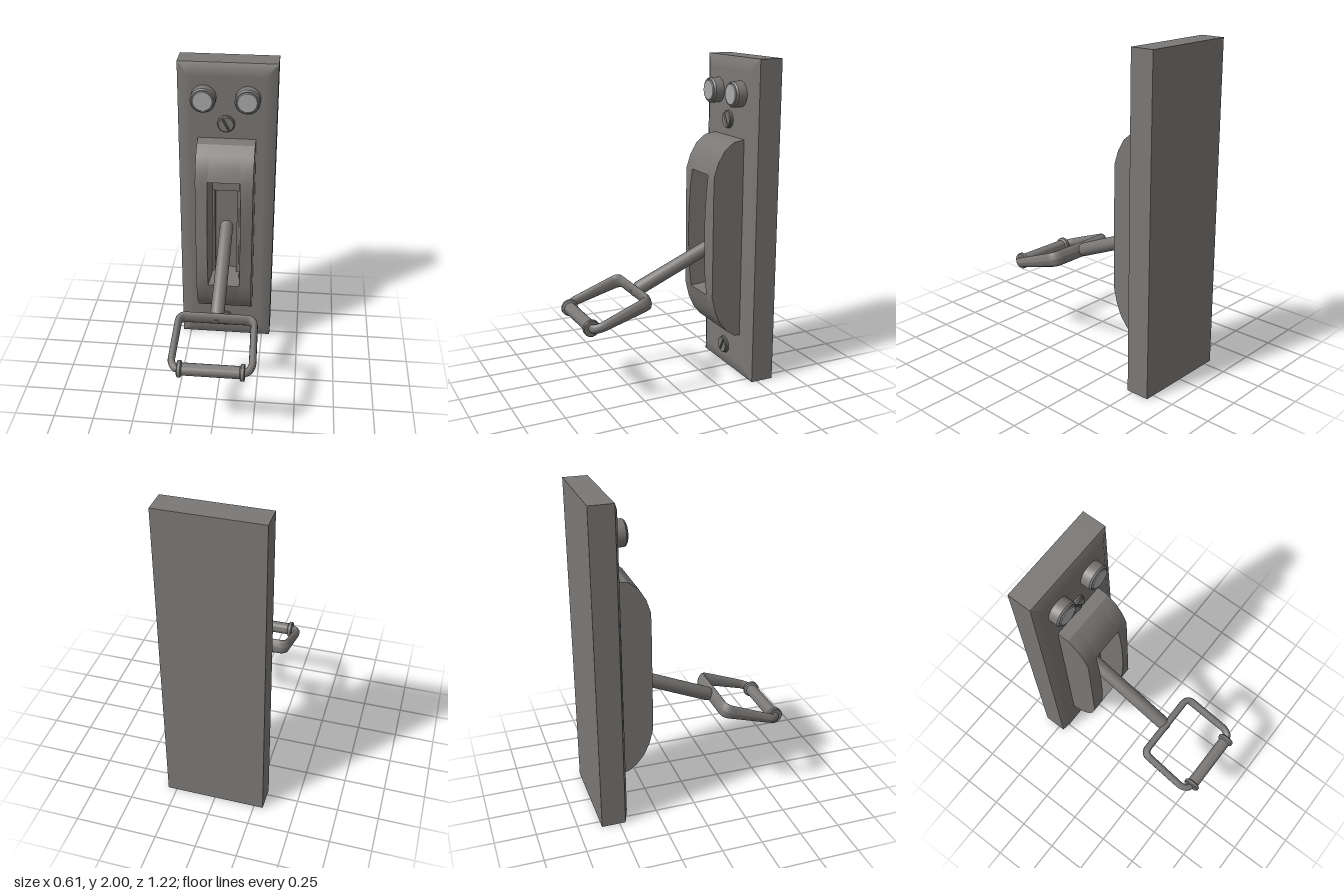
import * as THREE from 'three';
import { toCreasedNormals } from 'three/addons/utils/BufferGeometryUtils.js';

const metal = new THREE.MeshStandardMaterial({ color: 0x7a7876 });
const lens = new THREE.MeshStandardMaterial({ color: 0xaaaaaa });
const BACK = -0.44; // front surface of the wall plate

function add(parent, name, geometry, x = 0, y = 0, z = 0, material = metal) {
  const m = new THREE.Mesh(geometry, material);
  m.name = name;
  m.position.set(x, y, z);
  parent.add(m);
  return m;
}

// Applies a rule to every vertex
function warp(geometry, rule) {
  const p = geometry.attributes.position;
  const v = new THREE.Vector3();
  for (let i = 0; i < p.count; i++) {
    rule(v.fromBufferAttribute(p, i));
    p.setXYZ(i, v.x, v.y, v.z);
  }
  geometry.computeVertexNormals();
  return geometry;
}

// Lathe from [radius, height] pairs, axis turned to +z
function turned(points, sides = 24) {
  const g = new THREE.LatheGeometry(points.map(p => new THREE.Vector2(...p)), sides);
  return toCreasedNormals(g.rotateX(Math.PI / 2), 0.6);
}

// Plate with a softly shaded bevel around its front; an inner loop keeps the middle flat
function plate() {
  const g = new THREE.BoxGeometry(0.61, 2, 0.17, 3, 3, 2);
  warp(g, v => {
    const front = v.z > 0.05;
    const inset = (c, half) => Math.sign(c) *
      (Math.abs(c) < half * 0.9 ? half - 0.08 : front ? half - 0.05 : half);
    v.x = inset(v.x, 0.305);
    v.y = inset(v.y, 1);
    if (Math.abs(v.z) < 0.05) v.z = 0.062;
  });
  return toCreasedNormals(g, 0.5);
}

// Side profile of the housing as [z, y]; indices 5 and 10 are the slot ends
const PROFILE = [
  [BACK, 0.275], [-0.4, 0.28], [-0.35, 0.315], [-0.3, 0.375], [-0.265, 0.45],
  [-0.24, 0.55], [-0.225, 0.7], [-0.22, 0.9], [-0.222, 1.05], [-0.23, 1.2],
  [-0.242, 1.31], [-0.268, 1.39], [-0.31, 1.46], [-0.37, 1.508], [BACK, 1.52],
];

// Extrudes a profile along x; the slot narrows inward, the outer front edge is chamfered
function housingPart(points, x0, x1) {
  const shape = new THREE.Shape(points.map(([z, y]) => new THREE.Vector2(-z, y)));
  const g = new THREE.ExtrudeGeometry(shape, { depth: x1 - x0, bevelEnabled: false });
  g.rotateY(Math.PI / 2).translate(x0, 0, 0);
  warp(g, v => {
    if (Math.abs(v.x) < 0.15) v.x = Math.sign(v.x) * (0.08 + (v.z - BACK) * 0.114);
    else v.z = Math.min(v.z, -0.24);
  });
  return toCreasedNormals(g, 0.5);
}

function housing() {
  const g = new THREE.Group();
  g.name = 'housing';
  add(g, 'leftCheek', housingPart(PROFILE, 0.105, 0.18));
  add(g, 'rightCheek', housingPart(PROFILE, -0.18, -0.105));
  add(g, 'lowerCap', housingPart([...PROFILE.slice(0, 6), [BACK, 0.575]], -0.105, 0.105));
  add(g, 'upperCap', housingPart([[BACK, 1.29], ...PROFILE.slice(10)], -0.105, 0.105));
  // Guide deep inside the slot
  add(g, 'slotStop', new THREE.BoxGeometry(0.17, 0.11, 0.06), 0, 1.24, BACK + 0.03);
  for (const s of [-1, 1])
    add(g, 'slotRail', new THREE.BoxGeometry(0.015, 0.62, 0.05), s * 0.078, 0.88, BACK + 0.025);
  return g;
}

// Slotted screw: base disc and two half heads
function screw(name, y, angle) {
  const g = new THREE.Group();
  g.name = name;
  add(g, 'screwBase', turned([[0.055, -0.01], [0.055, 0.01], [0.05, 0.014], [0, 0.014]], 12));
  const a = 0.16;
  const half = new THREE.Shape().absarc(0, 0, 0.046, a, Math.PI - a, false);
  const geo = new THREE.ExtrudeGeometry(half, {
    depth: 0.01, bevelThickness: 0.004, bevelSize: 0.004, bevelSegments: 1, curveSegments: 6,
  });
  for (const r of [0, Math.PI]) add(g, 'screwHeadHalf', geo, 0, 0, 0.01).rotation.z = r;
  g.position.set(-0.005, y, BACK);
  g.rotation.z = angle;
  return g;
}

// Push button: chamfered collar with a paler cap
function button(name, x) {
  const g = new THREE.Group();
  g.name = name;
  add(g, 'buttonCollar', turned(
    [[0.078, 0], [0.078, 0.056], [0.07, 0.066], [0.063, 0.066], [0.063, 0.05]]));
  add(g, 'buttonCap', turned([[0.0625, 0.05], [0.0625, 0.068], [0.059, 0.072], [0, 0.072]]),
    0, 0, 0, lens);
  g.position.set(x, 1.786, BACK);
  return g;
}

// Flat path with rounded corners through [x, z, cornerRadius]
function roundedPath(points) {
  const path = new THREE.CurvePath();
  const pts = points.map(([x, z]) => new THREE.Vector3(x, 0, z));
  let from = pts[0];
  for (let i = 1; i < pts.length - 1; i++) {
    const p = pts[i], r = points[i][2];
    const a = p.clone().add(pts[i - 1].clone().sub(p).setLength(r));
    const b = p.clone().add(pts[i + 1].clone().sub(p).setLength(r));
    path.add(new THREE.LineCurve3(from, a));
    path.add(new THREE.QuadraticBezierCurve3(a, p, b));
    from = b;
  }
  path.add(new THREE.LineCurve3(from, pts[pts.length - 1]));
  return path;
}

function handle() {
  const g = new THREE.Group();
  g.name = 'handle';
  // Bent frame, deeper at the lever end than at the grip
  const side = [[0.18, 0.375, 0], [0.212, 0.375, 0.02], [0.241, 0.335, 0.03], [0.231, 0.005, 0.045]];
  const path = roundedPath([...side, ...side.map(([x, z, r]) => [-x, z, r]).reverse()]);
  const frame = new THREE.TubeGeometry(path, 110, 0.022, 12);
  add(g, 'frame', warp(frame, v => {
    v.y *= THREE.MathUtils.lerp(2.1, 1.25, THREE.MathUtils.clamp(v.z / 0.375, 0, 1));
  }));
  // Grip roller with end flanges
  const grip = turned([
    [0, -0.2], [0.047, -0.2], [0.051, -0.195], [0.051, -0.178], [0.038, -0.17],
    [0.038, 0.17], [0.051, 0.178], [0.051, 0.195], [0.047, 0.2], [0, 0.2],
  ]);
  add(g, 'grip', grip.rotateY(Math.PI / 2), 0, 0, 0.375);
  g.position.set(0, 0.616, 0.2);
  g.rotation.x = 0.323;
  return g;
}

export function createModel() {
  const model = new THREE.Group();
  model.name = 'wallLeverSwitch';
  add(model, 'wallPlate', plate(), 0, 1, -0.525);
  model.add(housing());
  model.add(button('rightButton', -0.143), button('leftButton', 0.127));
  model.add(screw('upperScrew', 1.62, 2.07), screw('lowerScrew', 0.145, 1.07));

  // Lever rod, rooted in the plate, with a narrowed tip running through the handle
  const rod = turned([
    [0, 0], [0.043, 0], [0.043, 0.71], [0.036, 0.73], [0.022, 0.745], [0.022, 0.765], [0, 0.768],
  ]);
  add(model, 'leverRod', rod, 0, 0.904, -0.48).rotation.x = 0.405;
  model.add(handle());
  return model;
}
